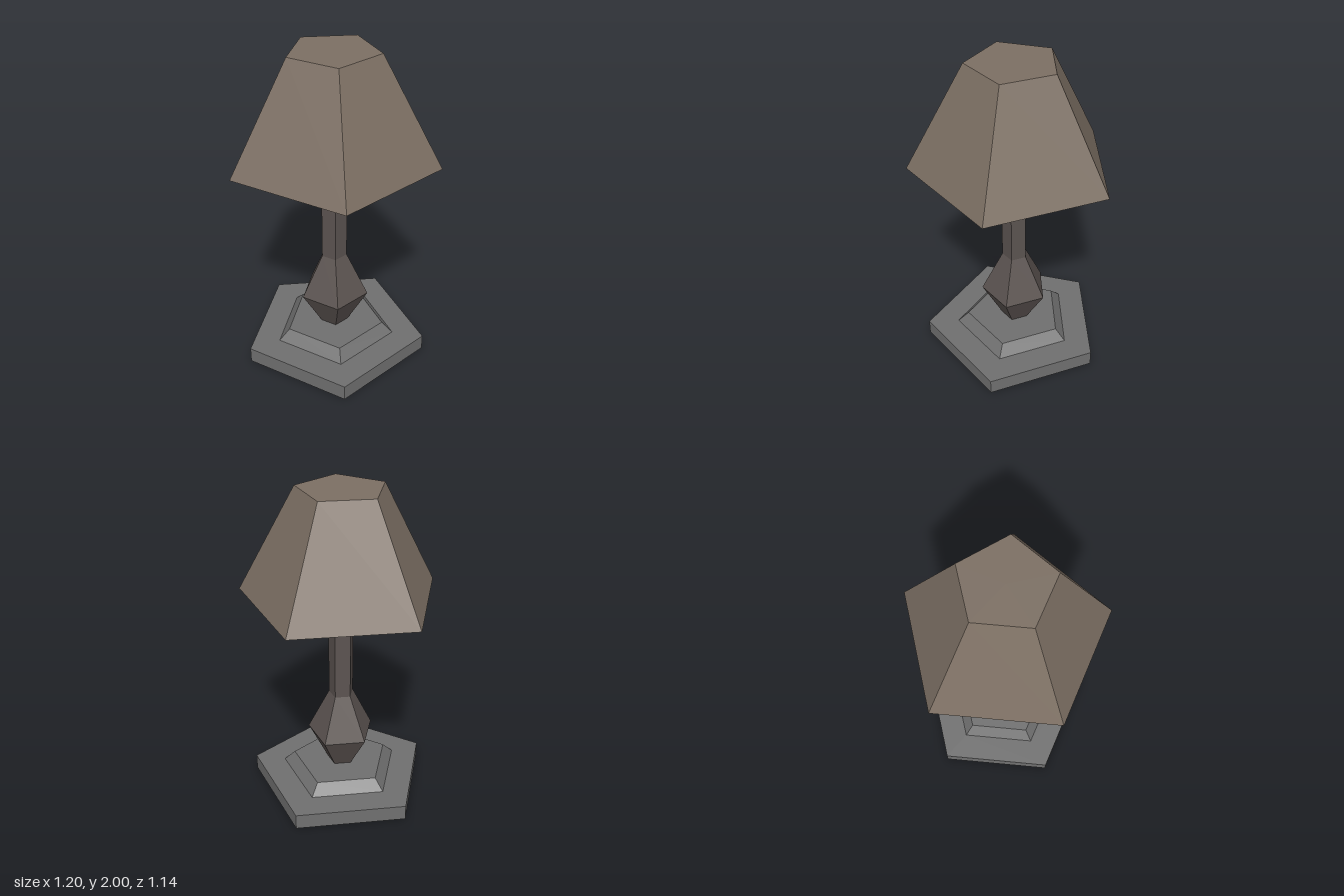
import * as THREE from 'three';

// Five-sided turned part: profile is [radius, height] pairs from bottom to top
function pentagonal(name, color, profile, side = THREE.FrontSide) {
  const points = profile.map(([r, y]) => new THREE.Vector2(r, y));
  // start angle PI puts one corner at the back and a flat face at the front
  const geometry = new THREE.LatheGeometry(points, 5, Math.PI);
  const material = new THREE.MeshStandardMaterial({ color, side, flatShading: true });
  const mesh = new THREE.Mesh(geometry, material);
  mesh.name = name;
  return mesh;
}

export function createModel() {
  const lamp = new THREE.Group();
  lamp.name = 'tableLamp';

  // Stepped foot with a bevelled upper tier
  const base = pentagonal('base', 0x707070, [
    [0, 0], [0.583, 0], [0.583, 0.1], [0.385, 0.1], [0.315, 0.17], [0, 0.17],
  ]);

  // Faceted bulge rising into a straight column
  const stem = pentagonal('stem', 0x5c5451, [
    [0.09, 0.17], [0.215, 0.395], [0.08, 0.675], [0.08, 1.24], [0, 1.24],
  ]);

  // Bulb, mostly hidden by the shade
  const bulb = pentagonal('bulb', 0xcccccc, [
    [0, 1.24], [0.08, 1.24], [0.112, 1.255], [0.15, 1.52], [0.1, 1.65], [0, 1.65],
  ]);

  // Shade, closed on top and open below
  const shade = pentagonal('shade', 0x7d7064, [
    [0.63, 1.34], [0.273, 2], [0, 2],
  ], THREE.DoubleSide);

  lamp.add(base, stem, bulb, shade);

  // Centre the pentagons' depth on z = 0
  for (const part of lamp.children) part.position.z = 0.06;
  return lamp;
}
